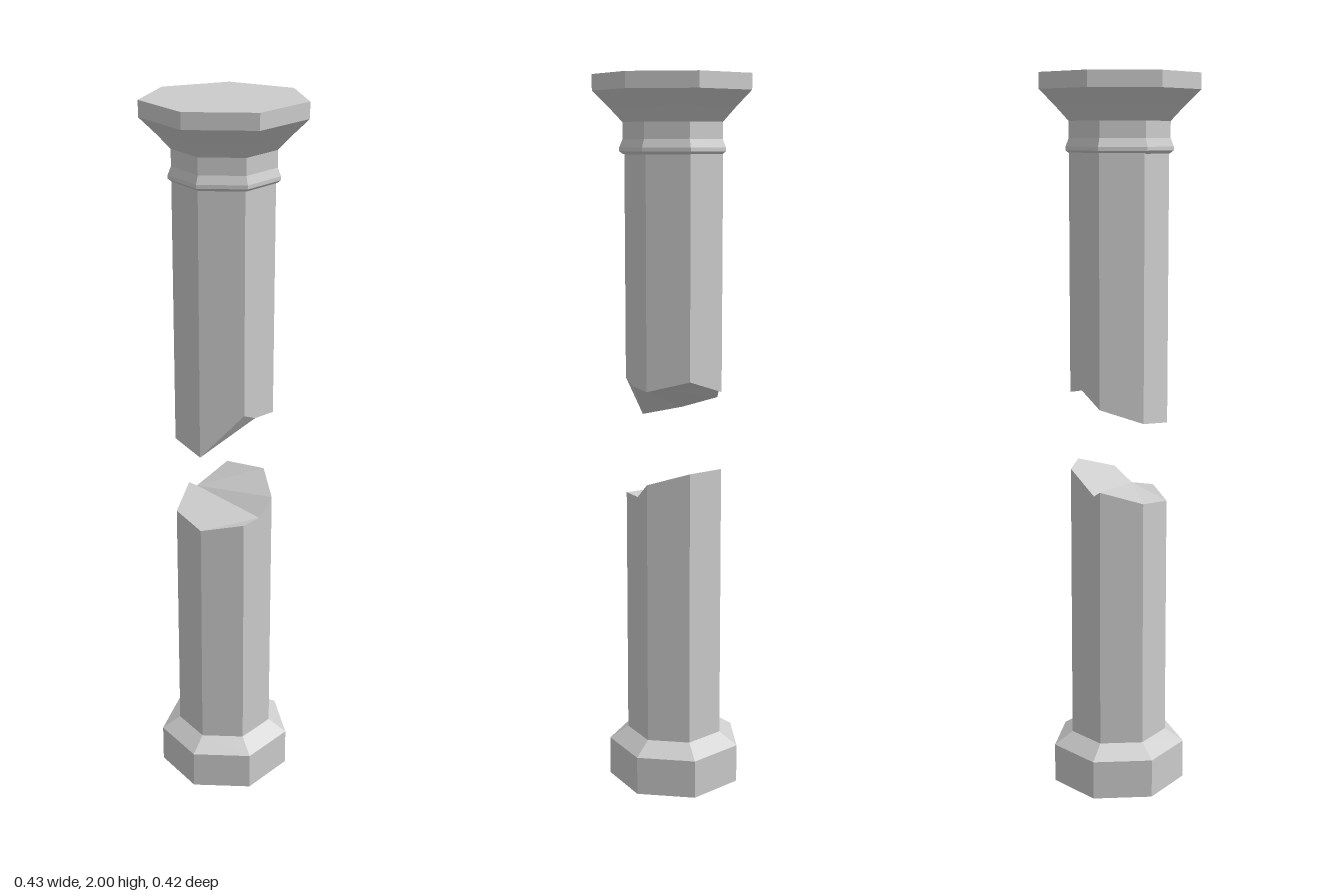
import * as THREE from 'three';

const SIDES = 7;
const CX = -0.003, CZ = 0.012; // column axis
const SHAFT_R = 0.138;

const material = new THREE.MeshStandardMaterial({ color: 0xcccccc, flatShading: true });

// Seven-sided turned part from [radius, y] pairs, bottom to top, with one corner at the back
function turned(name, profile) {
  const points = profile.map(([r, y]) => new THREE.Vector2(r, y));
  const mesh = new THREE.Mesh(new THREE.LatheGeometry(points, SIDES, Math.PI), material);
  mesh.name = name;
  mesh.position.set(CX, 0, CZ);
  return mesh;
}

// Shaft corner; a fractional k lies on the edge between two corners
function corner(k, y) {
  const at = (i) => {
    const a = Math.PI - (i * 2 * Math.PI) / SIDES;
    return new THREE.Vector3(Math.sin(a) * SHAFT_R, y, Math.cos(a) * SHAFT_R);
  };
  const i = Math.floor(k);
  return at(i).lerp(at(i + 1), k - i);
}

// Shaft piece with one flat end and one fractured end.
// rim: nine [corner, y] pairs round the fracture, from the back corner;
// entries 2 and 7 are the ends of the ridge across the break.
function brokenShaft(name, flatY, rim) {
  const n = rim.length;
  const broken = rim.map(([k, y]) => corner(k, y));
  const flat = rim.map(([k]) => corner(k, flatY));
  const facesUp = flatY < rim[0][1];
  const [low, high] = facesUp ? [flat, broken] : [broken, flat];
  const positions = [];
  const tri = (a, b, c) => [a, b, c].forEach((p) => positions.push(p.x, p.y, p.z));

  // Side walls
  for (let i = 0; i < n; i++) {
    const j = (i + 1) % n;
    tri(low[j], low[i], high[i]);
    tri(low[j], high[i], high[j]);
  }
  // End faces
  const fan = (ring, ids, up) => {
    for (let i = 1; i < ids.length - 1; i++) {
      const [a, b, c] = [ring[ids[0]], ring[ids[i]], ring[ids[i + 1]]];
      if (up) tri(a, c, b);
      else tri(a, b, c);
    }
  };
  fan(broken, [7, 8, 0, 1, 2], facesUp);
  fan(broken, [2, 3, 4, 5, 6, 7], facesUp);
  fan(flat, [...rim.keys()], !facesUp);

  const geometry = new THREE.BufferGeometry();
  geometry.setAttribute('position', new THREE.Float32BufferAttribute(positions, 3));
  geometry.computeVertexNormals();
  const mesh = new THREE.Mesh(geometry, material);
  mesh.name = name;
  mesh.position.set(CX, 0, CZ);
  return mesh;
}

export function createModel() {
  const column = new THREE.Group();
  column.name = 'brokenColumn';

  // Plinth with a sloped shoulder
  column.add(turned('base', [[0, 0], [0.191, 0], [0.191, 0.11], [0.138, 0.145], [0, 0.145]]));

  // Lower stump
  column.add(brokenShaft('lowerShaft', 0.14, [
    [0, 0.93], [1, 0.895], [1.45, 0.85], [2, 0.85], [3, 0.83],
    [4, 0.845], [5, 0.88], [5.2, 0.865], [6, 0.927],
  ]));

  // Upper remnant
  column.add(brokenShaft('upperShaft', 1.8, [
    [0, 1.185], [1, 1.155], [1.63, 1.16], [2, 1.18], [3, 1.055],
    [4, 1.07], [5, 1.11], [5.6, 1.155], [6, 1.145],
  ]));

  // Neck ring, flare and top slab
  const capital = turned('capital', [
    [0, 1.79], [0.138, 1.79], [0.149, 1.798], [0.149, 1.808], [0.14, 1.83],
    [0.14, 1.875], [0.178, 1.915], [0.221, 1.957], [0.221, 2], [0, 2],
  ]);
  capital.position.x = 0;
  column.add(capital);

  return column;
}
